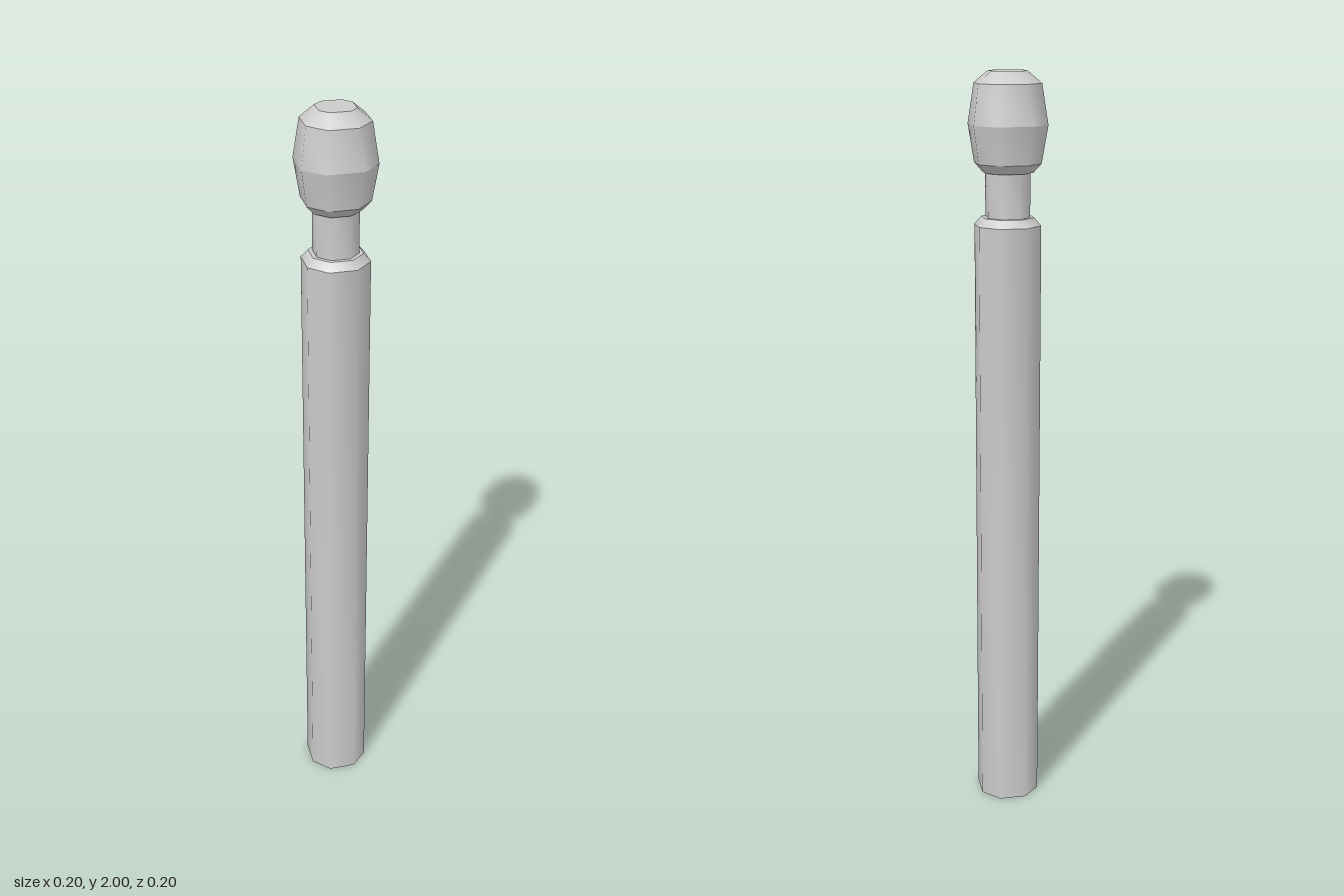
import * as THREE from 'three';
import { mergeGeometries } from 'three/addons/utils/BufferGeometryUtils.js';

// Corners of a chamfered square, going from +x towards +z
function octagon(half, flat) {
  const f = half * flat;
  return [[half, -f], [half, f], [f, half], [-f, half], [-half, f], [-half, -f], [-f, -half], [f, -half]];
}

// One ring of faces between two levels [half width, y, flat ratio]: smooth around, sharp at its rims
function band([h0, y0, f0 = 0.38], [h1, y1, f1 = 0.38]) {
  const positions = [], index = [];
  for (const [x, z] of octagon(h0, f0)) positions.push(x, y0, z);
  for (const [x, z] of octagon(h1, f1)) positions.push(x, y1, z);
  for (let i = 0; i < 8; i++) {
    const j = (i + 1) % 8;
    if (h1 > 0) index.push(i, i + 8, j + 8);
    if (h0 > 0) index.push(i, j + 8, j);
  }
  const geometry = new THREE.BufferGeometry();
  geometry.setAttribute('position', new THREE.Float32BufferAttribute(positions, 3));
  geometry.setIndex(index);
  geometry.computeVertexNormals();
  return geometry;
}

function stack(name, levels, material) {
  const bands = levels.slice(1).map((level, i) => band(levels[i], level));
  const mesh = new THREE.Mesh(mergeGeometries(bands), material);
  mesh.name = name;
  return mesh;
}

export function createModel() {
  const group = new THREE.Group();
  group.name = 'post';
  const material = new THREE.MeshStandardMaterial({ color: 0xcccccc });
  const neckHalf = 0.055;

  // Long shaft with a bevelled shoulder
  group.add(stack('shaft', [[0, 0], [0.082, 0], [0.082, 1.62], [0.065, 1.64], [neckHalf, 1.64]], material));

  // Narrow neck
  group.add(stack('neck', [[neckHalf, 1.64], [neckHalf, 1.752]], material));

  // Barrel-shaped head with bevelled ends
  group.add(stack('head', [
    [neckHalf, 1.752], [0.062, 1.752], [0.082, 1.775], [0.1, 1.87, 0.33],
    [0.082, 1.97], [0.05, 2, 0.3], [0, 2],
  ], material));

  return group;
}
